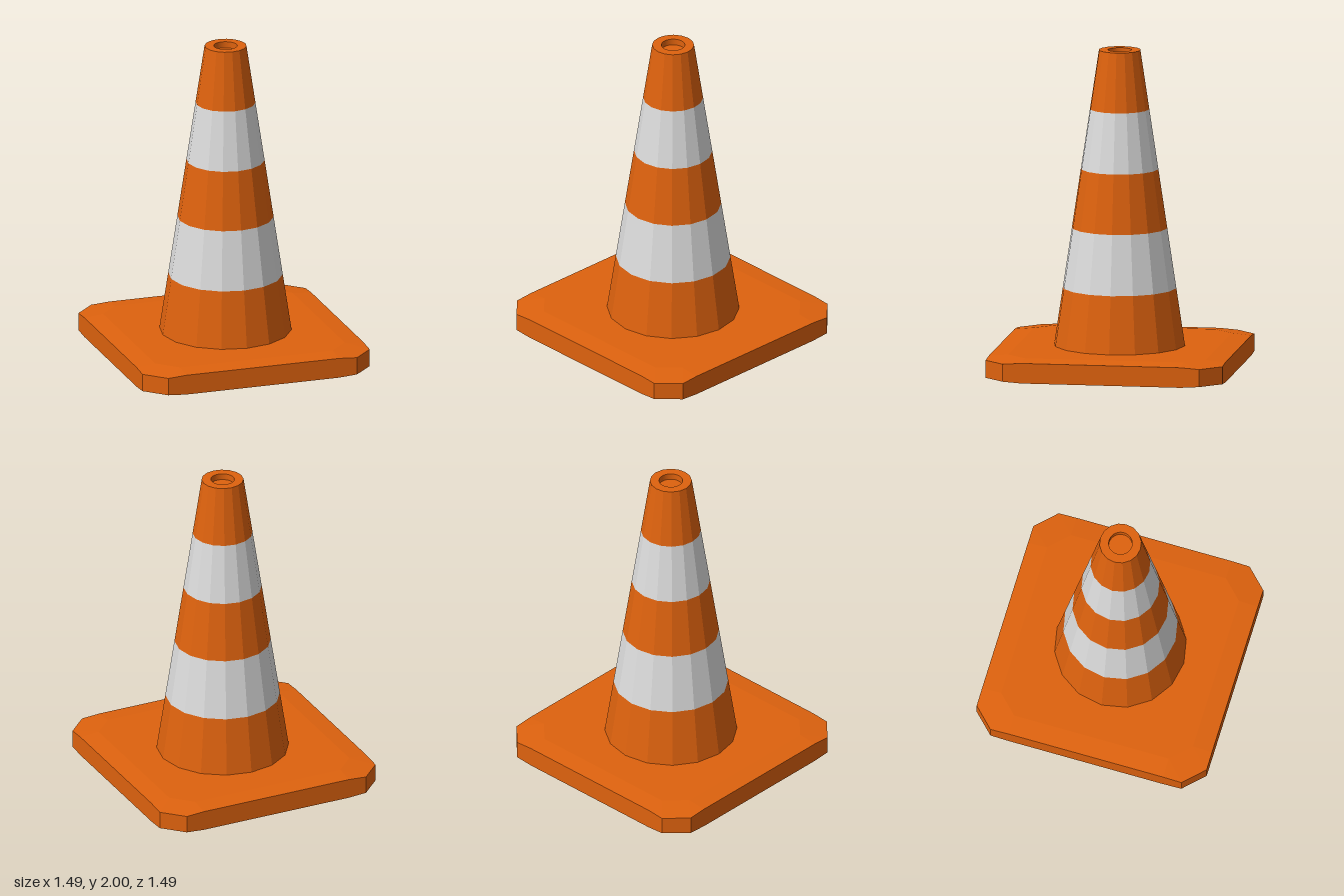
import * as THREE from 'three';

const orange = new THREE.MeshStandardMaterial({ color: 0xde620e });
orange.name = 'orange';
const white = new THREE.MeshStandardMaterial({ color: 0xdcdcdc });
white.name = 'white';

const BASE_TOP = 0.15, TOP = 2, R_BOTTOM = 0.41, R_TOP = 0.13;
const HOLE_R = 0.073, HOLE_DEPTH = 0.04, CONE_X = 0.01;

function addMesh(parent, name, geometry, material) {
  const mesh = new THREE.Mesh(geometry, material);
  mesh.name = name;
  parent.add(mesh);
  return mesh;
}

// Repeats one corner's [x, y, z] points around the four corners
function ring(corner) {
  const points = [];
  let c = corner;
  for (let k = 0; k < 4; k++) {
    points.push(...c);
    c = c.map(([x, y, z]) => [z, y, -x]);
  }
  return points;
}

// Faceted skin through a stack of rings, listed from bottom to top
function loft(rings) {
  const pos = [];
  const same = (p, q) => p.every((v, i) => Math.abs(v - q[i]) < 1e-6);
  const tri = (a, b, c) => {
    if (!same(a, b) && !same(b, c) && !same(a, c)) pos.push(...a, ...b, ...c);
  };
  for (let r = 0; r < rings.length - 1; r++) {
    const lo = rings[r], hi = rings[r + 1], n = lo.length;
    for (let i = 0; i < n; i++) {
      const j = (i + 1) % n;
      tri(lo[i], lo[j], hi[j]);
      tri(lo[i], hi[j], hi[i]);
    }
  }
  const g = new THREE.BufferGeometry();
  g.setAttribute('position', new THREE.Float32BufferAttribute(pos, 3));
  g.computeVertexNormals();
  return g;
}

// Square foot with cut corners and gently sloped rims
function baseGeometry() {
  const centre = (y) => ring(Array(4).fill([0, y, 0]));
  const inner = (y) => ring([[0.5, y, 0.62], [0.5, y, 0.62], [0.62, y, 0.5], [0.62, y, 0.5]]);
  const outer = (yMid, yCorner) => ring([
    [0.5, yMid, 0.743], [0.617, yCorner, 0.743], [0.743, yCorner, 0.617], [0.743, yMid, 0.5],
  ]);
  return loft([
    centre(0), inner(0), outer(0.012, 0.02),
    outer(0.138, 0.13), inner(BASE_TOP), centre(BASE_TOP),
  ]);
}

// Open faceted slice of the cone between two heights
function bandGeometry(y0, y1) {
  const radius = (y) => R_BOTTOM + (R_TOP - R_BOTTOM) * (y - BASE_TOP) / (TOP - BASE_TOP);
  const g = new THREE.CylinderGeometry(radius(y1), radius(y0), y1 - y0, 16, 1, true)
    .translate(0, (y0 + y1) / 2, 0).toNonIndexed();
  g.computeVertexNormals();
  return g;
}

export function createModel() {
  const model = new THREE.Group();
  model.name = 'trafficCone';
  addMesh(model, 'base', baseGeometry(), orange);

  const cone = new THREE.Group();
  cone.name = 'cone';
  cone.position.x = CONE_X;
  model.add(cone);

  // Alternating orange and reflective bands
  const heights = [BASE_TOP, 0.51, 0.885, 1.255, 1.63, TOP];
  for (let i = 0; i < heights.length - 1; i++) {
    const striped = i % 2 === 1;
    addMesh(cone, striped ? 'whiteBand' : 'orangeBand',
      bandGeometry(heights[i], heights[i + 1]), striped ? white : orange);
  }

  // Flat rim around the round opening
  const rim = new THREE.Shape();
  for (let i = 0; i < 16; i++) {
    const a = i * Math.PI / 8;
    rim[i ? 'lineTo' : 'moveTo'](R_TOP * Math.cos(a), R_TOP * Math.sin(a));
  }
  rim.holes.push(new THREE.Path().absarc(0, 0, HOLE_R, 0, Math.PI * 2, true));
  addMesh(cone, 'rim', new THREE.ShapeGeometry(rim, 16).rotateX(-Math.PI / 2).translate(0, TOP, 0), orange);

  // Shallow recess: inward-facing wall and floor
  const wall = new THREE.LatheGeometry(
    [new THREE.Vector2(HOLE_R, TOP), new THREE.Vector2(HOLE_R, TOP - HOLE_DEPTH)], 32);
  addMesh(cone, 'holeWall', wall, orange);
  addMesh(cone, 'holeFloor',
    new THREE.CircleGeometry(HOLE_R, 32).rotateX(-Math.PI / 2).translate(0, TOP - HOLE_DEPTH, 0), orange);

  return model;
}
